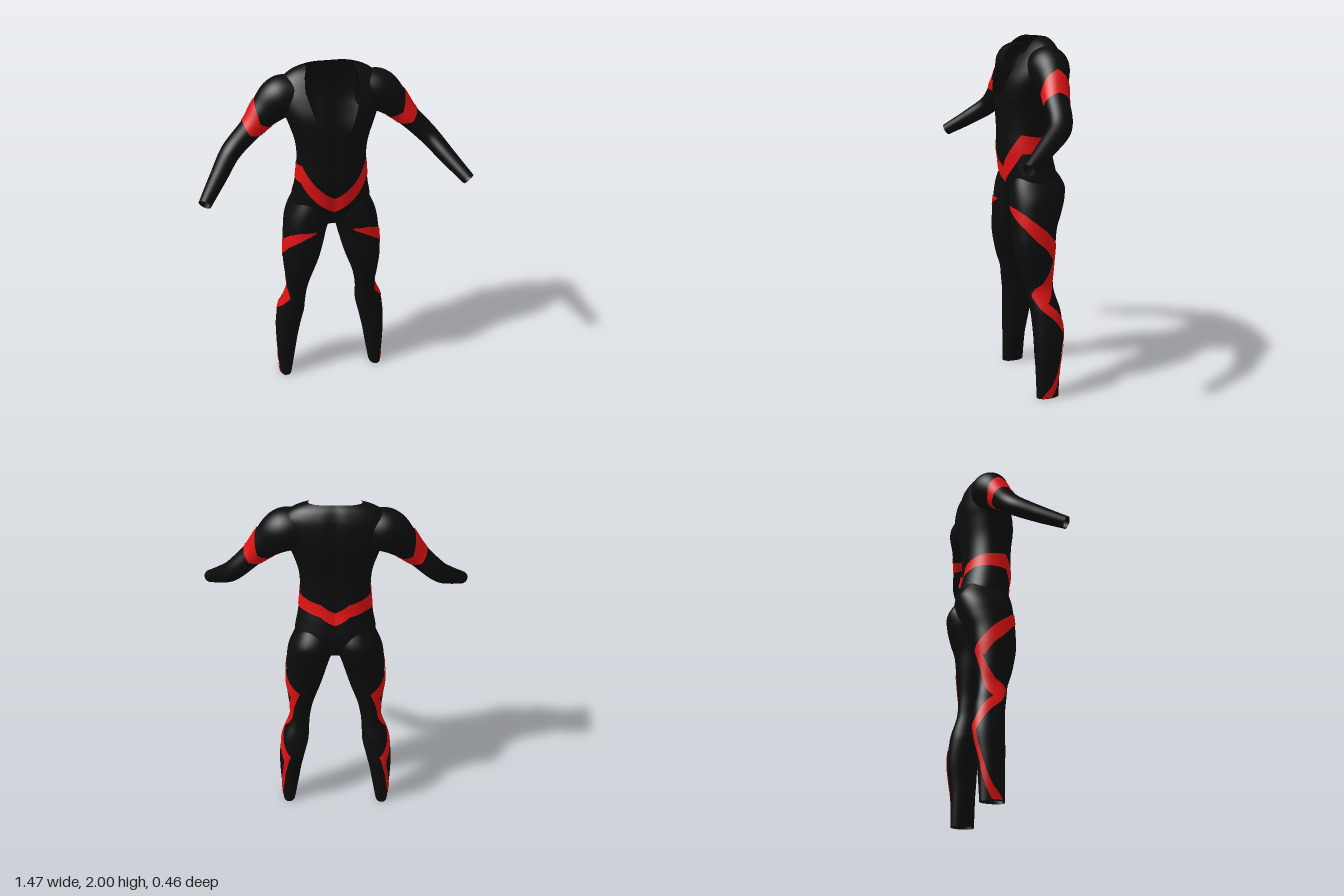
import * as THREE from 'three';
import { mergeVertices } from 'three/addons/utils/BufferGeometryUtils.js';

const black = new THREE.MeshStandardMaterial({ color: 0x0c0c0c, side: THREE.DoubleSide });
black.name = 'black fabric';
const red = new THREE.MeshStandardMaterial({ color: 0xdd1212, side: THREE.DoubleSide });
red.name = 'red stripe';

// Smooth (or linear) interpolation of rows keyed by their first number
function sample(rows, t, smooth = true) {
  let i = 0;
  while (i < rows.length - 2 && t > rows[i + 1][0]) i++;
  const a = rows[i], b = rows[i + 1], p = rows[i - 1] || a, q = rows[i + 2] || b;
  const d = b[0] - a[0], u = THREE.MathUtils.clamp((t - a[0]) / d, 0, 1);
  return a.slice(1).map((_, k) => {
    const j = k + 1;
    if (!smooth) return a[j] + (b[j] - a[j]) * u;
    const ma = (b[j] - p[j]) / (b[0] - p[0]) * d, mb = (q[j] - a[j]) / (q[0] - a[0]) * d;
    const u2 = u * u, u3 = u2 * u;
    return a[j] * (2 * u3 - 3 * u2 + 1) + ma * (u3 - 2 * u2 + u) + b[j] * (3 * u2 - 2 * u3) + mb * (u3 - u2);
  });
}

// Grid mesh over point(u, v), u and v from 0 to 1
function sheet(name, material, nu, nv, point) {
  const pos = [], index = [];
  for (let j = 0; j <= nv; j++) {
    for (let i = 0; i <= nu; i++) pos.push(...point(i / nu, j / nv));
  }
  for (let j = 0; j < nv; j++) {
    for (let i = 0; i < nu; i++) {
      const a = j * (nu + 1) + i, b = a + 1, c = a + nu + 1, d = c + 1;
      index.push(a, b, d, a, d, c);
    }
  }
  let geo = new THREE.BufferGeometry();
  geo.setAttribute('position', new THREE.Float32BufferAttribute(pos, 3));
  geo.setIndex(index);
  geo = mergeVertices(geo, 1e-5);
  geo.computeVertexNormals();
  const mesh = new THREE.Mesh(geo, material);
  mesh.name = name;
  return mesh;
}

const spow = (v, e) => Math.sign(v) * Math.abs(v) ** e;
const LIFT = 0.004;
const N = 2.25;

// Torso: height, half width, front z, back z
const TORSO = [
  [1.09, 0.05, 0.0, -0.12], [1.12, 0.14, 0.05, -0.17], [1.17, 0.2, 0.065, -0.2],
  [1.24, 0.22, 0.078, -0.21], [1.33, 0.205, 0.09, -0.195], [1.4, 0.195, 0.1, -0.178],
  [1.5, 0.188, 0.1, -0.17], [1.6, 0.196, 0.106, -0.175], [1.7, 0.225, 0.114, -0.195],
  [1.78, 0.255, 0.1, -0.21], [1.86, 0.275, 0.06, -0.208], [1.92, 0.265, 0.02, -0.198],
  [1.96, 0.225, -0.01, -0.182], [1.985, 0.18, -0.035, -0.165], [2.0, 0.135, -0.06, -0.145],
];
// Half width of the open neckline by height
const NECK = [[1.69, 0], [1.705, 0.08], [1.8, 0.115], [1.9, 0.145], [1.96, 0.14], [2.0, 0.125]];

// Angle 0 is the front, 90 degrees the model's left
function torsoPoint(a, y, lift = 0) {
  const [hx, zf, zb] = sample(TORSO, y);
  const x = (hx + lift) * spow(Math.sin(a), 2 / N);
  const groove = 1 - 0.08 * Math.exp(-((x / 0.035) ** 2));
  return [x, y, (zf + zb) / 2 + ((zf - zb) / 2 + lift) * spow(Math.cos(a), 2 / N) * groove];
}

// Leg: height, inner x, outer x, front z, back z
const LEG = [
  [0, 0.25, 0.322, -0.018, -0.147], [0.175, 0.22, 0.332, -0.016, -0.155], [0.25, 0.208, 0.334, -0.012, -0.166],
  [0.36, 0.185, 0.333, -0.01, -0.18], [0.47, 0.16, 0.32, -0.005, -0.173], [0.52, 0.157, 0.308, 0.002, -0.165],
  [0.6, 0.152, 0.274, 0.017, -0.143], [0.65, 0.145, 0.262, 0.025, -0.138], [0.73, 0.127, 0.27, 0.05, -0.14],
  [0.865, 0.08, 0.282, 0.078, -0.155], [0.97, 0.05, 0.278, 0.082, -0.17], [1.05, 0.03, 0.272, 0.08, -0.2],
  [1.13, 0.006, 0.26, 0.077, -0.225], [1.2, 0.005, 0.232, 0.07, -0.23], [1.3, 0.02, 0.18, 0.04, -0.17],
];
function legPoint(a, y, lift = 0) {
  const [xi, xo, zf, zb] = sample(LEG, y);
  return [(xi + xo) / 2 + ((xo - xi) / 2 + lift) * spow(Math.sin(a), 2 / N), y,
    (zf + zb) / 2 + ((zf - zb) / 2 + lift) * spow(Math.cos(a), 2 / N)];
}

// Arm: position along arm, centre x y z, radius across, radius in depth
const ARM = [
  [0, 0.16, 1.86, -0.08, 0.09, 0.09], [0.076, 0.255, 1.842, -0.085, 0.112, 0.108],
  [0.185, 0.345, 1.772, -0.075, 0.086, 0.08], [0.291, 0.415, 1.7, -0.06, 0.063, 0.068],
  [0.468, 0.54, 1.575, -0.03, 0.053, 0.06], [0.58, 0.62, 1.49, 0.075, 0.045, 0.048],
  [0.7, 0.705, 1.405, 0.2, 0.034, 0.034],
];
// Angle 0 is the top of the arm, 90 degrees its front
function armPoint(a, t, lift = 0) {
  const [x, y, z, rn, rz] = sample(ARM, t);
  const before = sample(ARM, Math.max(0, t - 0.03)), after = sample(ARM, Math.min(0.7, t + 0.03));
  const along = new THREE.Vector3(after[0] - before[0], after[1] - before[1], after[2] - before[2]).normalize();
  const depth = new THREE.Vector3(0, 0, 1).addScaledVector(along, -along.z).normalize();
  const up = new THREE.Vector3().crossVectors(depth, along);
  return new THREE.Vector3(x, y, z)
    .addScaledVector(up, (rn + lift) * Math.cos(a))
    .addScaledVector(depth, (rz + lift) * Math.sin(a)).toArray();
}

const rad = THREE.MathUtils.degToRad;

// Stripe on a surface: rows of angle, low edge, high edge
function stripe(name, surface, rows, side = 1) {
  const first = rows[0][0], span = rows[rows.length - 1][0] - first;
  return sheet(name, red, 72, 8, (u, v) => {
    const angle = first + span * u, [lo, hi] = sample(rows, angle, false);
    const p = surface(rad(angle), lo + (hi - lo) * v, LIFT);
    return [p[0] * side, p[1], p[2]];
  });
}

const BELT = [[0, 1.2, 1.29], [30, 1.29, 1.385], [62, 1.385, 1.488], [90, 1.385, 1.475],
  [130, 1.39, 1.46], [160, 1.375, 1.445], [180, 1.325, 1.395]];
const THIGH = [[-15, 1.08, 1.09], [20, 1.03, 1.09], [50, 0.985, 1.06], [80, 0.92, 1.01],
  [110, 0.85, 0.95], [130, 0.8, 0.91], [150, 0.81, 0.88], [172, 0.83, 0.845]];
const KNEE = [[38, 0.598, 0.606], [60, 0.57, 0.64], [90, 0.555, 0.665], [120, 0.6, 0.73],
  [140, 0.66, 0.81], [160, 0.76, 0.86], [172, 0.83, 0.845]];
const CALF = [[38, 0.598, 0.606], [60, 0.535, 0.61], [90, 0.485, 0.565], [120, 0.42, 0.51],
  [150, 0.355, 0.44], [175, 0.38, 0.395]];
// Ankle stripe rows run by height: height, front angle, back angle
const ANKLE = [[0.005, 50, 98], [0.07, 92, 125], [0.15, 120, 148], [0.22, 135, 156], [0.3, 146, 166], [0.4, 148, 174]];
const ARMBAND = [[0, 0.17, 0.3], [45, 0.205, 0.315], [90, 0.25, 0.328], [135, 0.235, 0.3], [180, 0.22, 0.28],
  [225, 0.235, 0.3], [270, 0.25, 0.328], [315, 0.205, 0.315], [360, 0.17, 0.3]];

export function createModel() {
  const model = new THREE.Group();
  model.name = 'bodysuit';

  // Torso with an open scoop neckline
  model.add(sheet('torso', black, 72, 110, (u, v) => {
    const y = 1.09 + 0.91 * v;
    const hx = sample(TORSO, y)[0], [gap] = sample(NECK, y, false);
    const start = Math.asin(Math.min(1, gap / hx) ** (N / 2));
    return torsoPoint(start + (2 * Math.PI - 2 * start) * u, y);
  }));

  for (const side of [1, -1]) {
    const label = side > 0 ? 'left' : 'right';
    const flip = (p) => [p[0] * side, p[1], p[2]];
    model.add(stripe(label + 'Belt', torsoPoint, BELT, side));

    const leg = new THREE.Group();
    leg.name = label + 'Leg';
    leg.add(
      sheet('legSleeve', black, 56, 110, (u, v) => flip(legPoint(2 * Math.PI * u, 1.3 * v))),
      stripe('thighStripe', legPoint, THIGH, side),
      stripe('kneeStripe', legPoint, KNEE, side),
      stripe('calfStripe', legPoint, CALF, side),
      sheet('ankleStripe', red, 8, 40, (u, v) => {
        const y = 0.005 + 0.395 * v, [a, b] = sample(ANKLE, y, false);
        return flip(legPoint(rad(a + (b - a) * u), y, LIFT));
      }),
    );

    const arm = new THREE.Group();
    arm.name = label + 'Arm';
    arm.add(
      sheet('armSleeve', black, 48, 60, (u, v) => flip(armPoint(2 * Math.PI * u, 0.7 * v))),
      stripe('armBand', armPoint, ARMBAND, side),
    );
    model.add(leg, arm);
  }
  return model;
}
